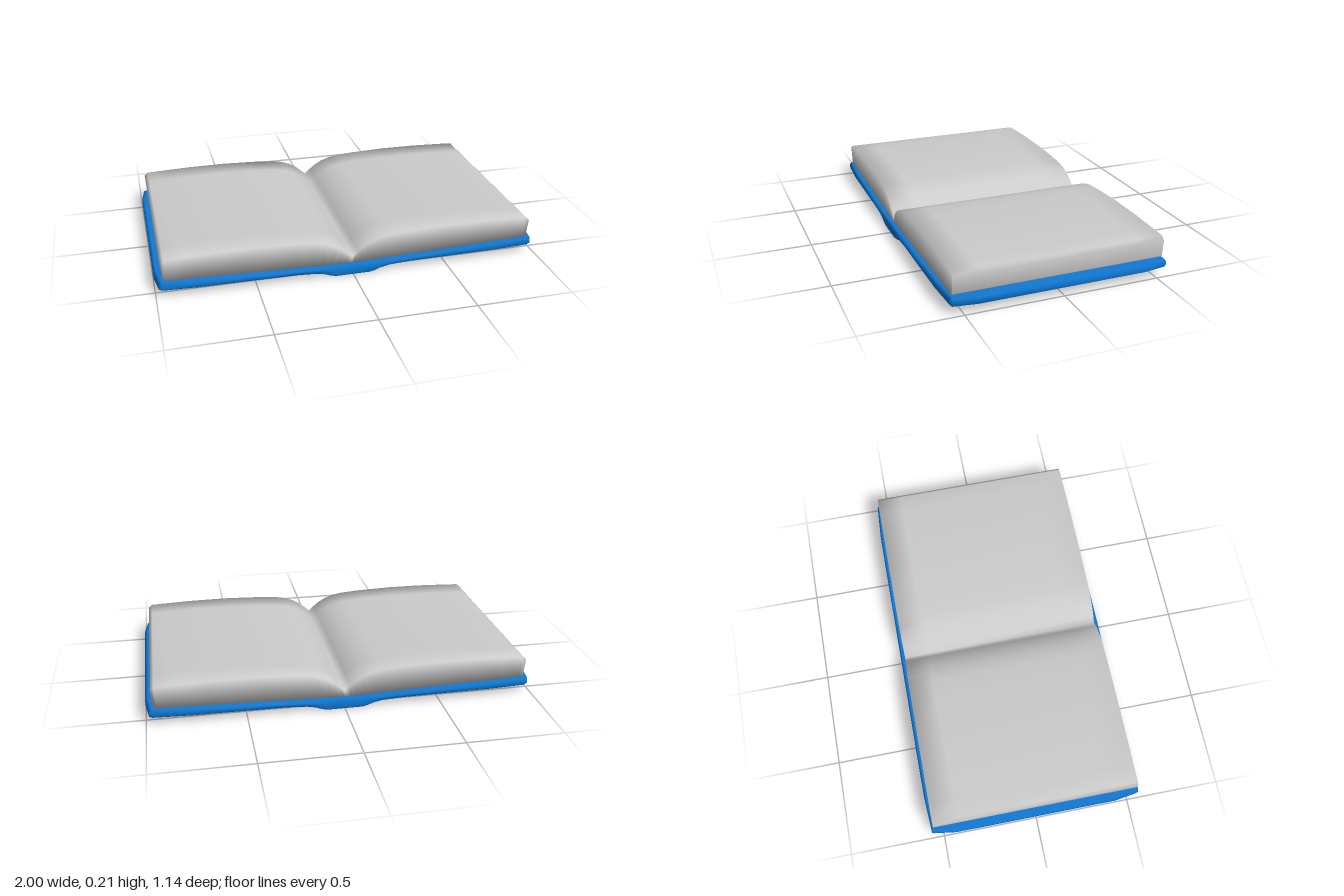
import * as THREE from 'three';

// Mirror half-profile columns [topX, topY, bottomX, bottomY] about x = 0
const mirrored = (half) => [
  ...half.slice(1).reverse().map(([a, b, c, d]) => [-a, b, -c, d]),
  ...half,
];

// Closed, smooth slab lofted along z through slices {z, inset, width};
// cornerPull draws the ends in slightly towards the outer edges.
function loftSlab(half, halfSlices, cornerPull = 0) {
  const cols = mirrored(half);
  const slices = [
    ...halfSlices.map((s) => ({ ...s, z: -s.z })),
    ...halfSlices.slice().reverse(),
  ];
  const n = cols.length, positions = [], index = [];
  for (const { z, inset, width } of slices) {
    for (const [tx, ty, bx, by] of cols) {
      const pull = 1 - cornerPull * THREE.MathUtils.clamp((Math.abs(tx) - 0.78) / 0.2, 0, 1);
      positions.push(tx * width, ty - inset, z * pull);
      positions.push(bx * width, by + inset, z * pull);
    }
  }
  const top = (k, i) => 2 * (k * n + i);
  const bot = (k, i) => top(k, i) + 1;
  const quad = (a, b, c, d) => index.push(a, b, c, a, c, d);
  const last = slices.length - 1;
  for (let k = 0; k < last; k++) {
    for (let i = 0; i < n - 1; i++) {
      quad(top(k, i), top(k + 1, i), top(k + 1, i + 1), top(k, i + 1));
      quad(bot(k, i), bot(k, i + 1), bot(k + 1, i + 1), bot(k + 1, i));
    }
    quad(bot(k, n - 1), top(k, n - 1), top(k + 1, n - 1), bot(k + 1, n - 1));
    quad(bot(k, 0), bot(k + 1, 0), top(k + 1, 0), top(k, 0));
  }
  for (let i = 0; i < n - 1; i++) {
    quad(bot(last, i), bot(last, i + 1), top(last, i + 1), top(last, i));
    quad(bot(0, i), top(0, i), top(0, i + 1), bot(0, i + 1));
  }
  const geometry = new THREE.BufferGeometry();
  geometry.setAttribute('position', new THREE.Float32BufferAttribute(positions, 3));
  geometry.setIndex(index);
  geometry.computeVertexNormals();
  return geometry;
}

export function createModel() {
  const book = new THREE.Group();
  book.name = 'openBook';

  // Cover: flat boards with a lowered spine in the middle
  const coverProfile = [
    [0, 0.06, 0, 0], [0.09, 0.06, 0.09, 0], [0.12, 0.061, 0.12, 0.006],
    [0.15, 0.062, 0.15, 0.018], [0.2, 0.064, 0.2, 0.028], [0.3, 0.067, 0.3, 0.034],
    [0.55, 0.074, 0.55, 0.036], [0.8, 0.081, 0.8, 0.037], [0.985, 0.086, 0.985, 0.037],
    [1, 0.08, 1, 0.045],
  ];
  const cover = new THREE.Mesh(
    loftSlab(coverProfile, [
      { z: 0.571, inset: 0.01, width: 0.98 },
      { z: 0.56, inset: 0, width: 0.983 },
      { z: 0.44, inset: 0, width: 1 },
    ], 0.02),
    new THREE.MeshStandardMaterial({ color: 0x0f7ad6 })
  );
  cover.name = 'cover';

  // Pages: two swelling stacks that meet in a gutter
  const pageProfile = [
    [0, 0.092, 0, 0.055], [0.03, 0.12, 0.03, 0.056], [0.06, 0.145, 0.06, 0.057],
    [0.1, 0.168, 0.1, 0.058], [0.15, 0.186, 0.15, 0.06], [0.2, 0.195, 0.2, 0.062],
    [0.3, 0.203, 0.3, 0.065], [0.5, 0.21, 0.5, 0.07], [0.7, 0.209, 0.7, 0.076],
    [0.85, 0.204, 0.85, 0.08], [0.95, 0.2, 0.945, 0.083], [0.97, 0.182, 0.96, 0.095],
  ];
  const pages = new THREE.Mesh(
    loftSlab(pageProfile, [
      { z: 0.545, inset: 0, width: 1 },
      { z: 0.41, inset: 0, width: 1 },
    ]),
    new THREE.MeshStandardMaterial({ color: 0xcccccc })
  );
  pages.name = 'pages';

  book.add(cover, pages);
  return book;
}
